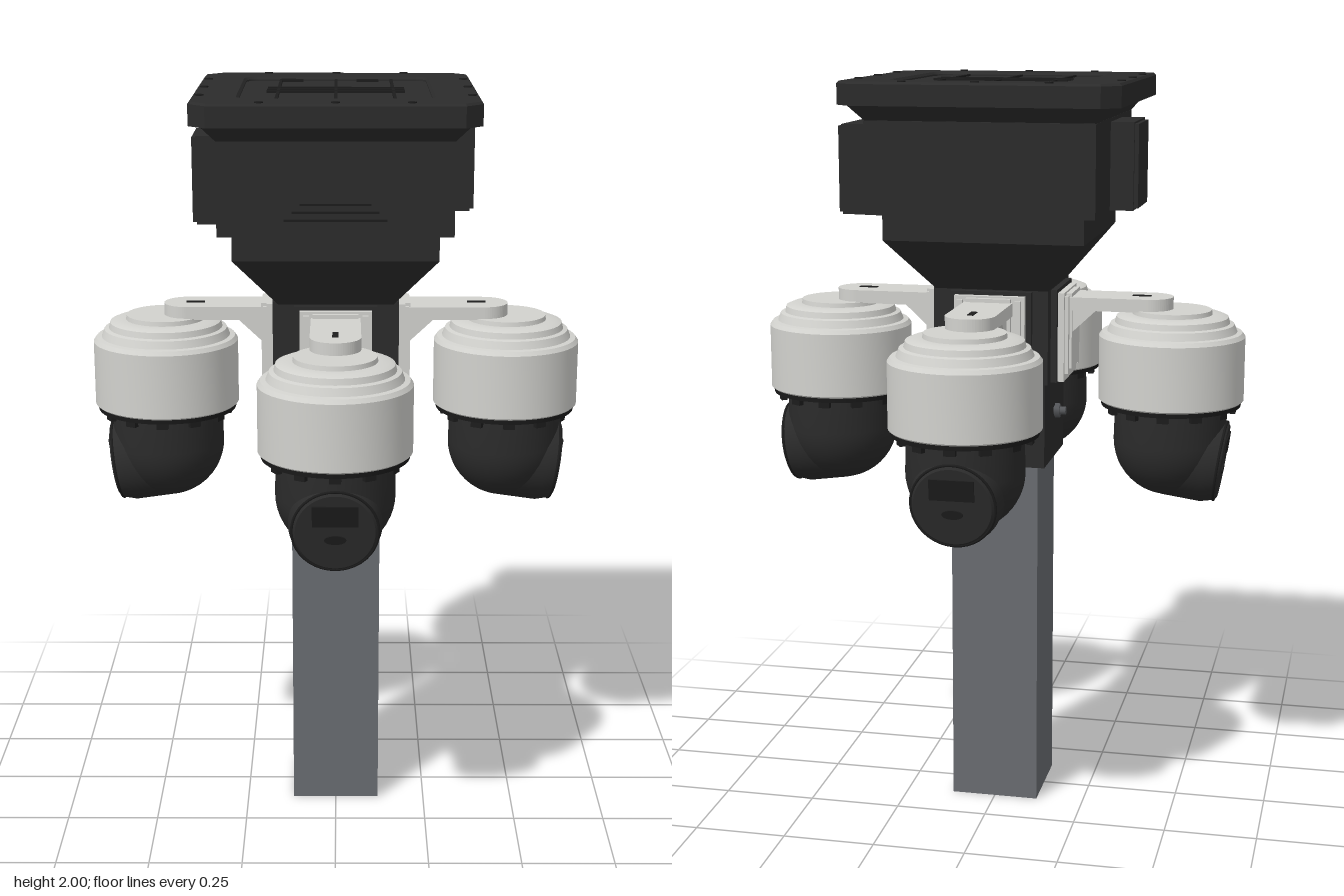
import * as THREE from 'three';
import { toCreasedNormals } from 'three/addons/utils/BufferGeometryUtils.js';

const mat = (name, color) => {
  const m = new THREE.MeshStandardMaterial({ color });
  m.name = name;
  return m;
};

export function createModel() {
  const black = mat('black housing', 0x2b2b2b);
  const dark = mat('dark trim', 0x1c1c1c);
  const white = mat('off-white casing', 0xd2d2ce);
  const steel = mat('pole steel', 0x696c71);
  const metal = mat('bolt metal', 0x55575a);

  const model = new THREE.Group();
  model.name = 'poleCameraUnit';

  const add = (parent, name, geo, material, x = 0, y = 0, z = 0) => {
    const mesh = new THREE.Mesh(geo, material);
    mesh.name = name;
    mesh.position.set(x, y, z);
    parent.add(mesh);
    return mesh;
  };
  // box given by its min and max on each axis
  const box = (parent, name, m, x0, x1, y0, y1, z0, z1) =>
    add(parent, name, new THREE.BoxGeometry(x1 - x0, y1 - y0, z1 - z0), m,
      (x0 + x1) / 2, (y0 + y1) / 2, (z0 + z1) / 2);
  // four-sided tapered block, half widths at bottom and top
  const taper = (parent, name, m, half0, half1, y0, y1) => {
    let g = new THREE.CylinderGeometry(half1 * Math.SQRT2, half0 * Math.SQRT2, y1 - y0, 4);
    g.rotateY(Math.PI / 4);
    g = g.toNonIndexed();
    g.computeVertexNormals();
    return add(parent, name, g, m, 0, (y0 + y1) / 2, 0);
  };
  // shape lying flat, extruded upward
  const slab = (shape, depth, bevel = 0) => {
    const g = new THREE.ExtrudeGeometry(shape, {
      depth: depth - 2 * bevel, bevelEnabled: bevel > 0, bevelSize: bevel,
      bevelThickness: bevel, bevelOffset: -bevel, bevelSegments: 1, curveSegments: 16,
    });
    g.translate(0, 0, bevel);
    g.rotateX(-Math.PI / 2);
    return g;
  };
  const polygon = (pts) => new THREE.Shape(pts.map(([x, y]) => new THREE.Vector2(x, y)));
  const square = (h) => polygon([[-h, -h], [h, -h], [h, h], [-h, h]]);
  const lathe = (pts, seg = 48) => toCreasedNormals(
    new THREE.LatheGeometry(pts.map(([x, y]) => new THREE.Vector2(x, y)), seg), 0.5);

  // hollow square pole
  const poleShape = square(0.12);
  poleShape.holes.push(square(0.113));
  add(model, 'pole', slab(poleShape, 1.0), steel);

  // sleeve clamped over the pole
  box(model, 'sleeve', black, -0.142, 0.142, 0.97, 1.46, -0.142, 0.142);
  box(model, 'sleeveTop', black, -0.152, 0.152, 1.2, 1.46, -0.152, 0.152);

  // cabinet: funnel, neck, body, flare
  taper(model, 'funnel', black, 0.15, 0.265, 1.45, 1.59);
  box(model, 'cabinetNeck', black, -0.265, 0.265, 1.59, 1.66, -0.265, 0.265);
  box(model, 'cabinetBody', black, -0.3, 0.3, 1.66, 1.9, -0.305, 0.305);
  taper(model, 'cabinetFlare', black, 0.295, 0.335, 1.895, 1.94);
  for (let i = 0; i < 3; i++) {
    const w = 0.13 - i * 0.02;
    box(model, 'ventSlot', dark, -w, w, 1.7 + i * 0.02, 1.705 + i * 0.02, 0.303, 0.309);
  }

  // side boxes, one on each flank
  [[1, -0.295, -0.075], [-1, -0.07, 0.13]].forEach(([s, z0, z1]) => {
    const g = new THREE.Group();
    g.name = s > 0 ? 'leftSideBox' : 'rightSideBox';
    model.add(g);
    const a = s > 0 ? 0.28 : -0.362, b = s > 0 ? 0.362 : -0.28;
    box(g, 'sideBox', black, a, b, 1.66, 1.89, z0, z1);
    box(g, 'sideCover', black, s > 0 ? 0.36 : -0.373, s > 0 ? 0.373 : -0.36, 1.665, 1.885, z0 + 0.01, z1 - 0.01);
  });

  // lid with cut corners and a shallow recess
  const L = 0.365, c = 0.32;
  const octagon = () => polygon([[-c, -L], [c, -L], [L, -c], [L, c], [c, L], [-c, L], [-L, c], [-L, -c]]);
  add(model, 'lidBase', slab(octagon(), 0.04), black, 0, 1.94, 0);
  const rim = octagon();
  const r = 0.245, k = 0.035;
  const recess = new THREE.Path();
  recess.moveTo(-r + k, -r);
  [[r, -r, r, -r + k], [r, r, r - k, r], [-r, r, -r, r - k], [-r, -r, -r + k, -r]].forEach(([cx, cy, ex, ey], i) => {
    const sx = [r - k, r, -r + k, -r][i], sy = [-r, r - k, r, -r + k][i];
    recess.lineTo(sx, sy);
    recess.quadraticCurveTo(cx, cy, ex, ey);
  });
  rim.holes.push(recess);
  add(model, 'lidRim', slab(rim, 0.04, 0.006), black, 0, 1.96, 0);
  box(model, 'recessFloor', black, -0.26, 0.26, 1.97, 1.99, -0.26, 0.26);
  for (const x of [-0.15, 0, 0.15]) box(model, 'lidRib', dark, x - 0.004, x + 0.004, 1.989, 1.995, -0.24, 0.24);
  for (const z of [-0.04, 0, 0.04]) box(model, 'lidCrossRib', dark, -0.18, 0.18, 1.989, 1.996, z - 0.004, z + 0.004);
  for (const x of [-0.12, 0.085]) box(model, 'lidHinge', dark, x - 0.03, x + 0.03, 1.989, 1.996, -0.24, -0.22);
  for (const t of [-0.188, 0, 0.188]) for (const e of [-0.345, 0.345])
    for (const [x, z] of [[t, e], [e, t]])
      add(model, 'lidScrew', new THREE.CylinderGeometry(0.011, 0.011, 0.006, 12), dark, x, 2.0, z);

  // one dome camera with its wall bracket, reaching out along +z
  const buildCamera = (name) => {
    const g = new THREE.Group();
    g.name = name;
    // bracket: pad, wall plate, arm and gusset
    box(g, 'mountPad', black, -0.11, 0.11, 1.2, 1.45, 0.14, 0.168);
    box(g, 'wallPlate', white, -0.095, 0.095, 1.2, 1.44, 0.168, 0.185);
    box(g, 'wallPlateRaised', white, -0.06, 0.06, 1.23, 1.435, 0.18, 0.2);
    for (const s of [-1, 1])
      box(g, 'plateRidge', white, s * 0.078 - 0.008, s * 0.078 + 0.008, 1.22, 1.43, 0.18, 0.195);
    const arm = new THREE.Shape();
    arm.moveTo(-0.065, -0.19);
    arm.lineTo(0.065, -0.19);
    arm.lineTo(0.065, -0.4);
    arm.absarc(0, -0.4, 0.065, 0, -Math.PI, true);
    arm.closePath();
    add(g, 'arm', slab(arm, 0.035), white, 0, 1.39, 0);
    add(g, 'armSlot', new THREE.BoxGeometry(0.016, 0.006, 0.05), dark, 0, 1.424, 0.38);
    const gusset = new THREE.ExtrudeGeometry(polygon([[0.19, 1.32], [0.27, 1.395], [0.19, 1.395]]),
      { depth: 0.1, bevelEnabled: false });
    gusset.rotateY(-Math.PI / 2);
    add(g, 'gusset', gusset, white, 0.05, 0, 0);

    const cam = new THREE.Group();
    cam.name = 'domeCamera';
    cam.position.z = 0.463;
    g.add(cam);
    add(cam, 'casing', lathe([[0, 1.145], [0.19, 1.145], [0.196, 1.15], [0.196, 1.322], [0.188, 1.333],
      [0.174, 1.335], [0.166, 1.355], [0.154, 1.358], [0.15, 1.374], [0.135, 1.38], [0.107, 1.381],
      [0.105, 1.393], [0, 1.393]]), white);
    add(cam, 'baseRing', new THREE.CylinderGeometry(0.191, 0.188, 0.014, 48), dark, 0, 1.14, 0);
    for (let i = 0; i < 12; i++) {
      const a = (i / 12) * Math.PI * 2;
      const tooth = add(cam, 'ringTab', new THREE.BoxGeometry(0.03, 0.02, 0.015), dark,
        Math.sin(a) * 0.168, 1.125, Math.cos(a) * 0.168);
      tooth.rotation.y = a;
    }
    // rounded head
    const head = [[0.15, 1.138]];
    for (let i = 0; i <= 12; i++) {
      const a = (i / 12) * Math.PI / 2;
      head.unshift([0.153 * Math.cos(a), 1.037 - 0.153 * Math.sin(a)]);
    }
    head[0][0] = 0;
    add(cam, 'head', lathe(head), black);
    // lens housing, tilted slightly down
    const lens = new THREE.Group();
    lens.name = 'lensHousing';
    lens.position.set(0, 1.0, 0);
    lens.rotation.x = 0.14;
    cam.add(lens);
    const barrel = lathe([[0, 0], [0.118, 0], [0.118, 0.105], [0.108, 0.14], [0.1, 0.148], [0, 0.148]]);
    barrel.rotateX(Math.PI / 2);
    add(lens, 'lensBarrel', barrel, black);
    add(lens, 'lensRing', new THREE.TorusGeometry(0.108, 0.004, 6, 40), dark, 0, 0, 0.14);
    add(lens, 'lensWindow', new THREE.BoxGeometry(0.115, 0.055, 0.006), dark, 0, 0.045, 0.149);
    const sensor = add(lens, 'sensorWindow', new THREE.CylinderGeometry(0.012, 0.012, 0.006, 20), dark, 0, -0.02, 0.149);
    sensor.rotation.x = Math.PI / 2;
    sensor.scale.x = 2.3;
    return g;
  };
  ['frontCamera', 'leftCamera', 'backCamera', 'rightCamera'].forEach((name, i) => {
    const cam = buildCamera(name);
    cam.rotation.y = i * Math.PI / 2;
    model.add(cam);
    // clamp bolt on the sleeve below each bracket
    const side = i % 2;
    const bolt = new THREE.Group();
    bolt.name = 'clampBolt';
    bolt.rotation.y = i * Math.PI / 2;
    model.add(bolt);
    const y = side ? 1.1 : 1.04;
    const shaft = add(bolt, 'boltShaft', new THREE.CylinderGeometry(0.011, 0.011, 0.04, 12), metal, 0, y, 0.155);
    const cap = add(bolt, 'boltHead', new THREE.CylinderGeometry(0.02, 0.02, 0.014, 6), metal, 0, y, side ? 0.152 : 0.17);
    shaft.rotation.x = cap.rotation.x = Math.PI / 2;
  });

  return model;
}
